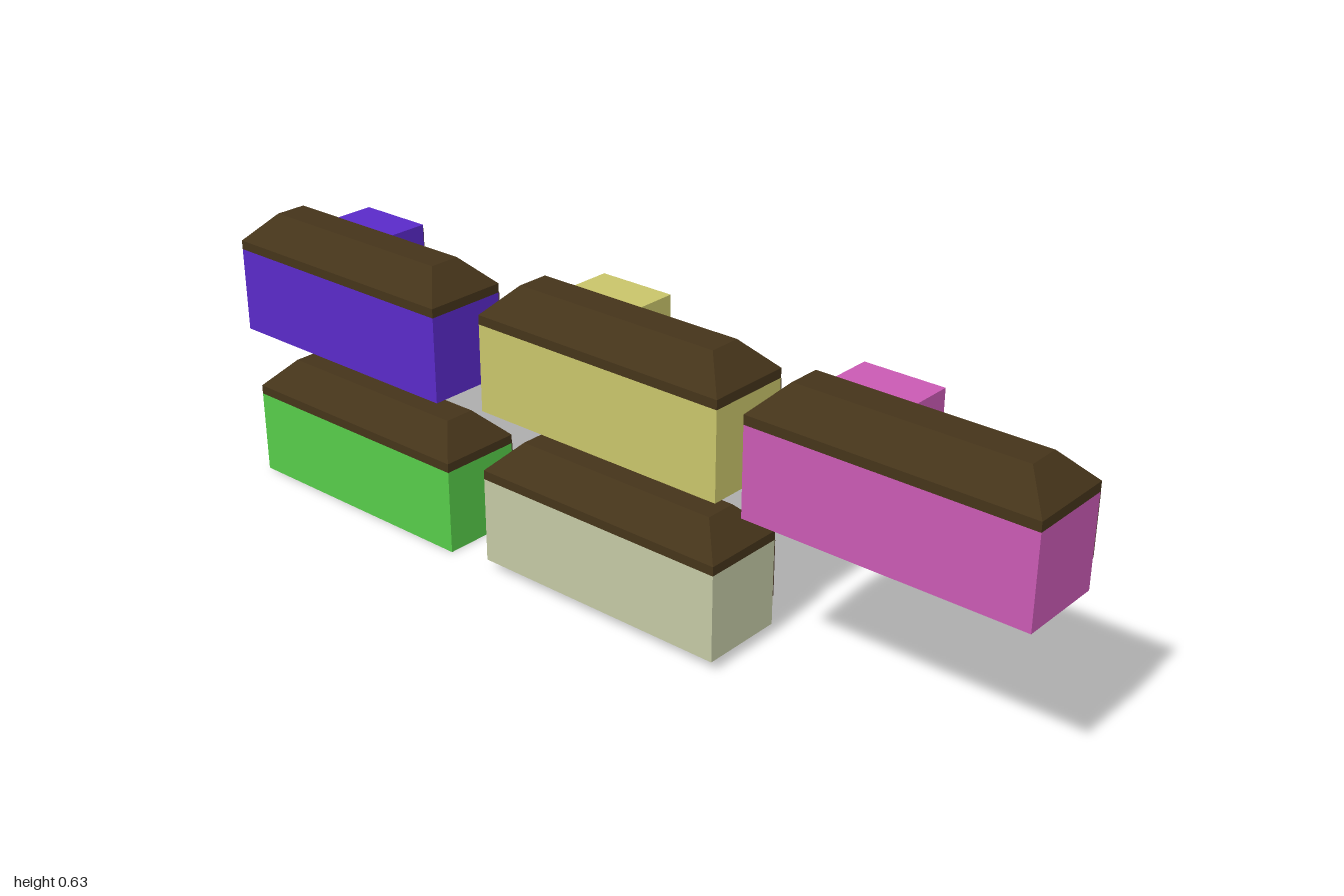
import * as THREE from 'three';

const LENGTH = 0.602, WIDTH = 0.187, WALL = 0.188, EAVE = 0.02, RISE = 0.06;
const WING_X = 0.18, WING_Z = 0.182;

const mat = (color) => new THREE.MeshStandardMaterial({ color, flatShading: true });
const roofMat = mat(0x45341a), doorMat = mat(0x665844);
const frameMat = mat(0x5c4a38), glassMat = mat(0x9dc2ca);

// Box given by its minimum and maximum corners
function box(name, material, [x0, y0, z0], [x1, y1, z1]) {
  const mesh = new THREE.Mesh(new THREE.BoxGeometry(x1 - x0, y1 - y0, z1 - z0), material);
  mesh.position.set((x0 + x1) / 2, (y0 + y1) / 2, (z0 + z1) / 2);
  mesh.name = name;
  return mesh;
}

// Framed window facing +x, with optional glazing bars
function makeWindow(name, x, y0, y1, z0, z1, depth, border, cols, rows) {
  const g = new THREE.Group();
  g.name = name;
  const xf = x + depth;
  g.add(
    box('frameBottom', frameMat, [x, y0, z0], [xf, y0 + border, z1]),
    box('frameTop', frameMat, [x, y1 - border, z0], [xf, y1, z1]),
    box('frameBack', frameMat, [x, y0 + border, z0], [xf, y1 - border, z0 + border]),
    box('frameFront', frameMat, [x, y0 + border, z1 - border], [xf, y1 - border, z1]),
    box('glass', glassMat, [x, y0 + border, z0 + border], [x + depth * 0.4, y1 - border, z1 - border])
  );
  const bar = 0.003, xb = x + depth * 0.8;
  for (let i = 1; i < cols; i++) {
    const z = z0 + ((z1 - z0) * i) / cols;
    g.add(box('verticalBar', frameMat, [x, y0 + border, z - bar], [xb, y1 - border, z + bar]));
  }
  for (let i = 1; i < rows; i++) {
    const y = y0 + ((y1 - y0) * i) / rows;
    g.add(box('horizontalBar', frameMat, [x, y - bar, z0 + border], [xb, y + bar, z1 - border]));
  }
  return g;
}

// Hipped roof: a box whose top is drawn in on all sides to a flat ridge
function hippedTop() {
  const inset = 0.059;
  const geo = new THREE.BoxGeometry(WIDTH + 0.001, RISE, LENGTH);
  const p = geo.attributes.position;
  for (let i = 0; i < p.count; i++) {
    if (p.getY(i) > 0) {
      p.setX(i, p.getX(i) - Math.sign(p.getX(i)) * inset);
      p.setZ(i, p.getZ(i) - Math.sign(p.getZ(i)) * inset);
    }
  }
  geo.computeVertexNormals();
  const mesh = new THREE.Mesh(geo, roofMat);
  mesh.name = 'roofSlopes';
  mesh.position.set(-WIDTH / 2 + 0.0005, WALL + EAVE + RISE / 2, LENGTH / 2);
  return mesh;
}

// L-shaped bungalow; its back wall lies on z = 0
function house(name, color) {
  const g = new THREE.Group();
  g.name = name;
  const walls = mat(color);
  g.add(
    box('mainWalls', walls, [-WIDTH, 0, 0], [0, WALL, LENGTH]),
    box('wing', walls, [0, 0, 0], [WING_X, WALL, WING_Z]),
    box('eave', roofMat, [-WIDTH, WALL, 0], [0.001, WALL + EAVE, LENGTH]),
    hippedTop(),
    box('door', doorMat, [0, 0.001, WING_Z], [0.015, WALL - 0.001, WING_Z + 0.112]),
    makeWindow('mainWindow', 0, 0.062, 0.186, LENGTH - 0.14, LENGTH - 0.001, 0.004, 0.01, 1, 1),
    makeWindow('wingWindow', WING_X, 0.075, 0.178, 0.004, WING_Z - 0.004, 0.005, 0.008, 3, 2)
  );
  return g;
}

export function createModel() {
  const model = new THREE.Group();
  model.name = 'houses';
  // name, wall colour, base height, back z
  const houses = [
    ['pinkHouse', 0xc95ab3, 0.355, 0.398],
    ['yellowHouse', 0xc8c46a, 0.364, -0.265],
    ['purpleHouse', 0x5a2ac8, 0.34, -1.0],
    ['beigeHouse', 0xc3c8a4, 0.022, -0.267],
    ['greenHouse', 0x56cb49, 0, -0.976],
  ];
  for (const [name, color, y, z] of houses) {
    const h = house(name, color);
    h.position.set(0.001, y, z);
    model.add(h);
  }
  return model;
}
